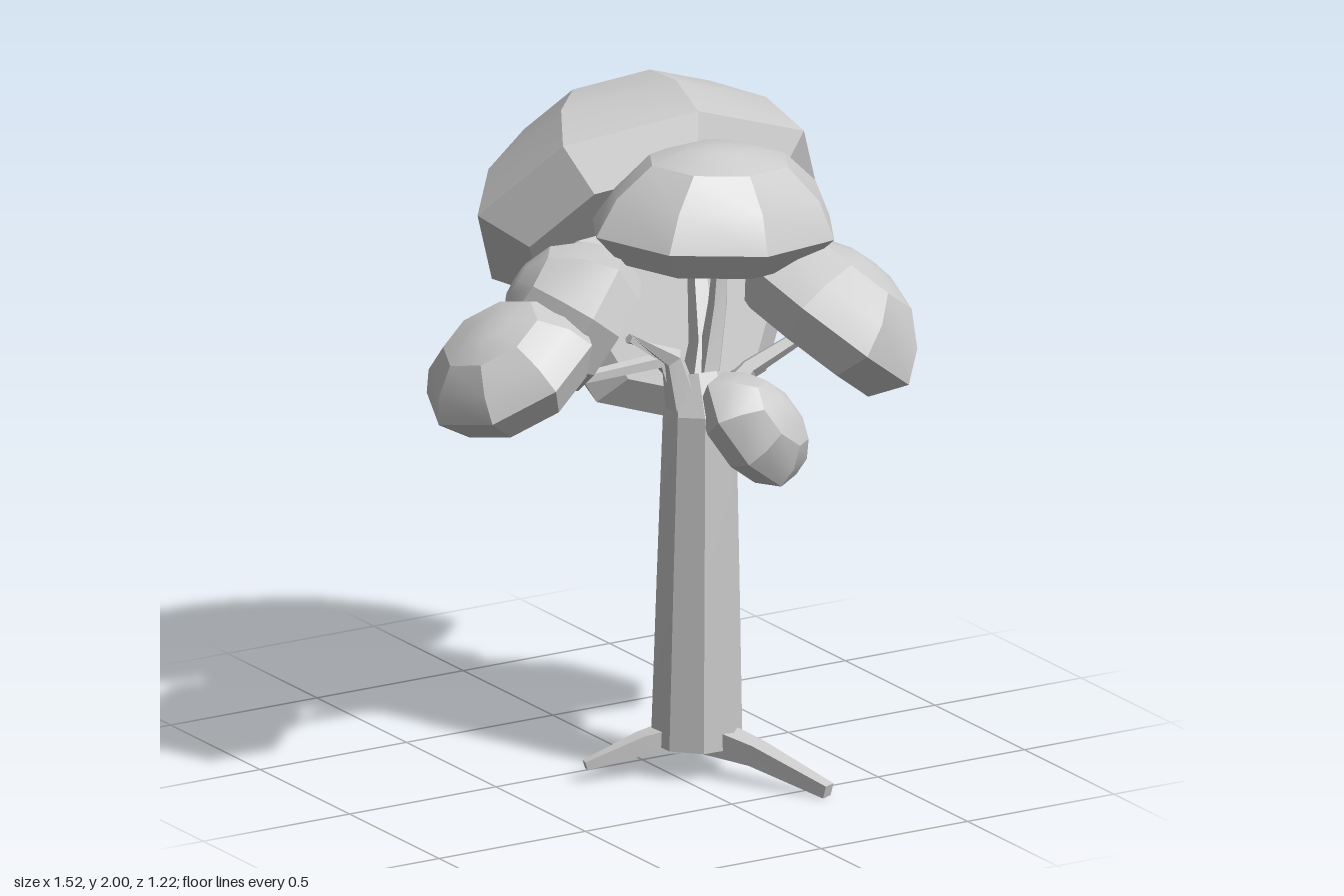
import * as THREE from 'three';
import { toCreasedNormals } from 'three/addons/utils/BufferGeometryUtils.js';

const V = (a) => new THREE.Vector3(...a);
const material = new THREE.MeshStandardMaterial({ color: 0xcccccc });

function part(name, geometry, crease) {
  const mesh = new THREE.Mesh(toCreasedNormals(geometry, crease), material);
  mesh.name = name;
  return mesh;
}

// Tapering limb lofted through a few points; each point is [x, y, z, radius]
function limb(name, path, sides) {
  const pts = path.map((p) => V(p.slice(0, 3)));
  const pos = [], index = [];
  pts.forEach((p, i) => {
    const dir = pts[Math.min(i + 1, pts.length - 1)].clone()
      .sub(pts[Math.max(i - 1, 0)]).normalize();
    const ref = Math.abs(dir.y) > 0.8 ? V([0, 0, 1]) : V([0, 1, 0]);
    const a = ref.cross(dir).normalize();
    const b = dir.clone().cross(a);
    for (let s = 0; s < sides; s++) {
      const t = ((s + 0.5) / sides) * Math.PI * 2;
      const q = p.clone()
        .addScaledVector(a, Math.cos(t) * path[i][3])
        .addScaledVector(b, Math.sin(t) * path[i][3]);
      pos.push(q.x, q.y, q.z);
    }
  });
  for (let i = 0; i < pts.length - 1; i++) {
    for (let s = 0; s < sides; s++) {
      const a = i * sides + s, b = i * sides + ((s + 1) % sides);
      index.push(a, b, b + sides, a, b + sides, a + sides);
    }
  }
  // End caps
  const last = (pts.length - 1) * sides;
  for (let s = 1; s < sides - 1; s++) {
    index.push(0, s + 1, s, last, last + s, last + s + 1);
  }
  const g = new THREE.BufferGeometry();
  g.setAttribute('position', new THREE.Float32BufferAttribute(pos, 3));
  g.setIndex(index);
  return part(name, g, 0.3);
}

// Faceted dome of leaves: flat underside, widest ring at the centre, tapering top.
// lean slides the top along the dome's long direction.
function foliage({ name, at, axis, along, size, under, lean = 0 }) {
  const [ru, h, rw] = size;
  const profile = [
    [0, -under], [0.76, -under], [1, 0], [0.85, 0.45 * h],
    [0.57, 0.82 * h], [0.25, 0.97 * h], [0, h],
  ].map(([r, y]) => new THREE.Vector2(r, y));
  const g = new THREE.LatheGeometry(profile, 8);
  g.scale(ru, 1, rw);
  g.applyMatrix4(new THREE.Matrix4().makeShear(0, 0, lean / h, 0, 0, 0));
  const n = V(axis).normalize();
  const u = V(along);
  u.addScaledVector(n, -u.dot(n)).normalize();
  const m = new THREE.Matrix4().makeBasis(u, n, u.clone().cross(n));
  g.applyMatrix4(m.setPosition(...at));
  return part(name, g, 0.4);
}

export function createModel() {
  const tree = new THREE.Group();
  tree.name = 'tree';

  tree.add(limb('trunk', [
    [0.085, 0.09, 0.165, 0.135], [0.09, 0.6, 0.165, 0.122], [0.095, 1.1, 0.165, 0.108],
    [0.1, 1.2, 0.13, 0.08],
  ], 8));

  // Three roots spreading from the foot
  const roots = [
    [[0.11, 0.11, 0.22, 0.06], [0.17, 0.09, 0.36, 0.045], [0.275, 0.02, 0.59, 0.028]],
    [[0.13, 0.11, 0.12, 0.06], [0.25, 0.095, -0.01, 0.038], [0.35, 0.06, -0.12, 0.02]],
    [[0.04, 0.11, 0.15, 0.06], [-0.08, 0.1, 0.13, 0.04], [-0.25, 0.05, 0.09, 0.018]],
  ];
  roots.forEach((path) => tree.add(limb('root', path, 4)));

  // Branches reaching into the foliage
  const branches = [
    [[0.1, 1.1, 0.15, 0.07], [0.15, 1.28, 0.1, 0.045], [0.2, 1.55, -0.03, 0.025]],
    [[0.05, 1.08, 0.17, 0.06], [0.01, 1.27, 0.15, 0.035], [-0.15, 1.36, 0.17, 0.015]],
    [[0.04, 1.15, 0.17, 0.04], [-0.02, 1.26, 0.13, 0.025], [-0.5, 1.23, 0.1, 0.015]],
    [[0.14, 1.1, 0.18, 0.05], [0.25, 1.21, 0.19, 0.03], [0.45, 1.32, 0.24, 0.02]],
    [[0.12, 1.15, 0.16, 0.04], [0.18, 1.4, 0.13, 0.03], [0.2, 1.6, 0.12, 0.02]],
    [[0.1, 0.95, 0.18, 0.04], [0.16, 1.03, 0.24, 0.03], [0.2, 1.06, 0.28, 0.02]],
  ];
  branches.forEach((path) => tree.add(limb('branch', path, 5)));

  const clumps = [
    { name: 'crownFoliage', at: [0.16, 1.61, -0.23], axis: [0.08, 0.56, -0.83],
      along: [1, -0.1, 0.03], size: [0.575, 0.38, 0.42], under: 0.13, lean: 0.05 },
    { name: 'upperFrontFoliage', at: [0.18, 1.63, 0.1], axis: [0.08, 1, 0.03],
      along: [1, -0.1, 0], size: [0.4, 0.25, 0.31], under: 0.09 },
    { name: 'outerRightFoliage', at: [-0.515, 1.31, 0.1], axis: [-0.48, 0.87, 0],
      along: [0.87, 0.48, 0], size: [0.275, 0.165, 0.26], under: 0.1 },
    { name: 'innerRightFoliage', at: [-0.24, 1.4, 0.05], axis: [-0.6, 0.45, -0.4],
      along: [0.6, 0.7, 0], size: [0.24, 0.23, 0.23], under: 0.1 },
    { name: 'leftFoliage', at: [0.48, 1.33, 0.25], axis: [0.6, 0.74, 0.15],
      along: [0.77, -0.63, 0], size: [0.33, 0.22, 0.27], under: 0.1 },
    { name: 'lowFrontFoliage', at: [0.21, 1.05, 0.27], axis: [0.55, 0.55, 0.7],
      along: [0.66, -0.72, 0.05], size: [0.215, 0.14, 0.155], under: 0.07 },
    { name: 'lowBackFoliage', at: [0.14, 1.35, -0.07], axis: [0, -0.25, -0.96],
      along: [1, 0, 0], size: [0.41, 0.28, 0.34], under: 0.08 },
  ];
  clumps.forEach((c) => tree.add(foliage(c)));

  return tree;
}
